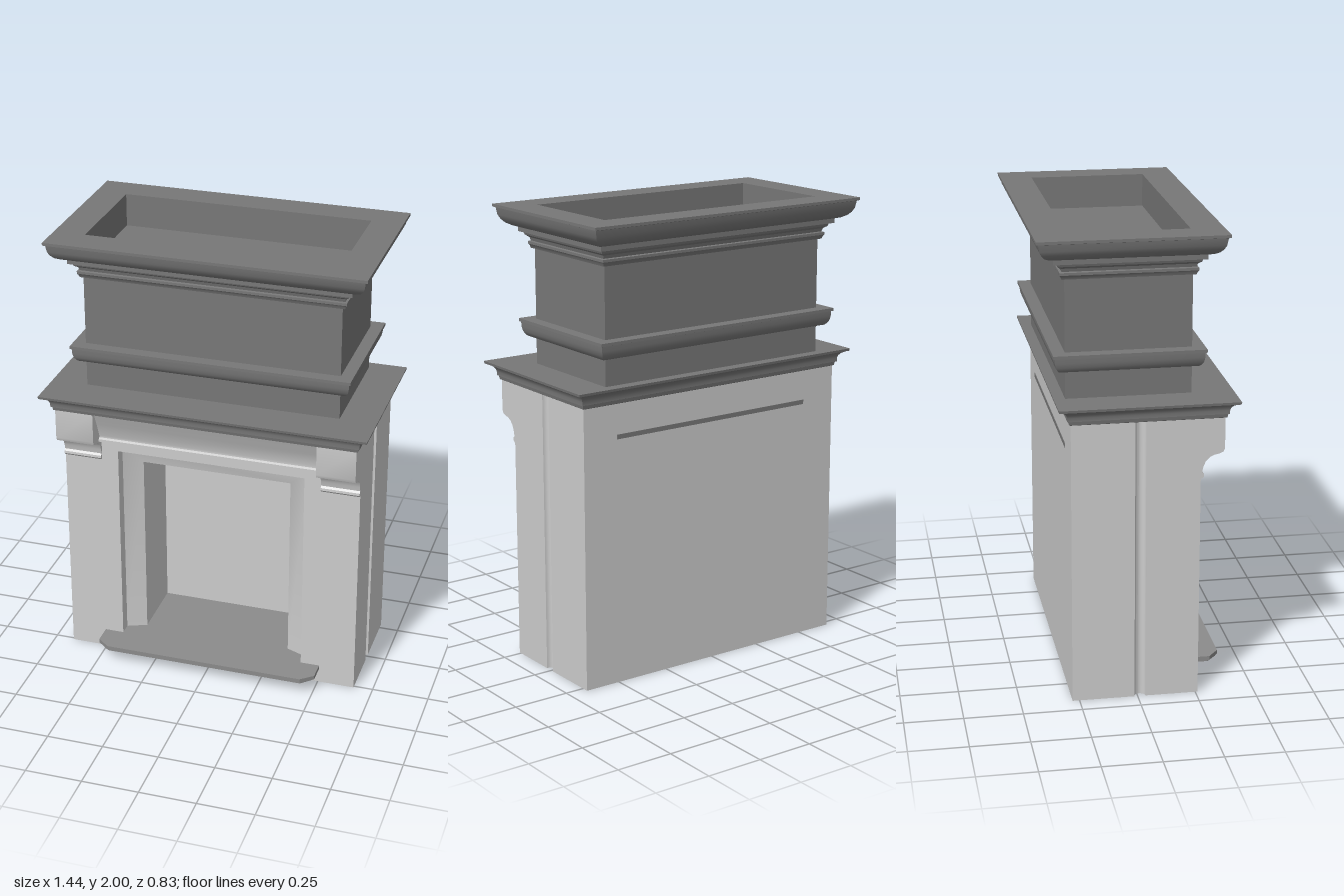
import * as THREE from 'three';
import { toCreasedNormals } from 'three/addons/utils/BufferGeometryUtils.js';

const stone = new THREE.MeshStandardMaterial({ color: 0xcccccc, side: THREE.DoubleSide });
const darkStone = new THREE.MeshStandardMaterial({ color: 0x777777, side: THREE.DoubleSide });
const slate = new THREE.MeshStandardMaterial({ color: 0x8b8b8b, side: THREE.DoubleSide });

function mesh(name, geometry, material) {
  const m = new THREE.Mesh(toCreasedNormals(geometry, 0.55), material);
  m.name = name;
  return m;
}

function box(name, x0, x1, y0, y1, z0, z1, material) {
  const g = new THREE.BoxGeometry(x1 - x0, y1 - y0, z1 - z0);
  g.translate((x0 + x1) / 2, (y0 + y1) / 2, (z0 + z1) / 2);
  return mesh(name, g, material);
}

const toShape = (pts) => new THREE.Shape(pts.map(([x, y]) => new THREE.Vector2(x, y)));

// plan outline of [x, z] points raised from y0 to y1
function planExtrude(pts, y0, y1) {
  const g = new THREE.ExtrudeGeometry(toShape(pts.map(([x, z]) => [x, -z])), { depth: y1 - y0, bevelEnabled: false });
  return g.rotateX(-Math.PI / 2).translate(0, y0, 0);
}

// side outline of [z, y] points swept across from x0 to x1
function sideExtrude(pts, x0, x1) {
  const g = new THREE.ExtrudeGeometry(toShape(pts), { depth: x1 - x0, bevelEnabled: false });
  return g.rotateY(-Math.PI / 2).translate(x1, 0, 0);
}

// skin a stack of equal-length point loops
function skin(loops, closed, caps) {
  const pos = [], idx = [], n = loops[0].length;
  loops.forEach((l) => l.forEach((p) => pos.push(...p)));
  for (let i = 0; i < loops.length - 1; i++) {
    for (let j = 0; j < (closed ? n : n - 1); j++) {
      const k = (j + 1) % n, a = i * n + j, b = i * n + k;
      idx.push(a, b, b + n, a, b + n, a + n);
    }
  }
  if (caps) {
    const t = (loops.length - 1) * n;
    idx.push(0, 2, 1, 0, 3, 2, t, t + 1, t + 2, t, t + 2, t + 3);
  }
  const g = new THREE.BufferGeometry();
  g.setAttribute('position', new THREE.Float32BufferAttribute(pos, 3));
  g.setIndex(idx);
  return g;
}

// rectangular moulding: profile of [outward offset, y] around a base rectangle
function moulding(hx, zf, zb, profile) {
  return skin(profile.map(([o, y]) => [
    [-hx - o, y, zf + o], [hx + o, y, zf + o], [hx + o, y, zb - o], [-hx - o, y, zb - o],
  ]), true, true);
}

export function createModel() {
  const root = new THREE.Group();
  root.name = 'fireplace';

  const W = 0.665, TOP = 1.235, FRONT = 0.26, BACK = -0.28;
  const OPEN = 0.42, FLOOR = 0.075;

  for (const s of [1, -1]) {
    const side = s > 0 ? 'left' : 'right';

    // pier with a rounded vertical groove in its outer side
    const pier = [[OPEN, FRONT], [W, FRONT]];
    for (let i = 0; i <= 10; i++) {
      const a = (i / 10) * Math.PI;
      pier.push([W - 0.025 * Math.sin(a), 0.01 + 0.024 * Math.cos(a)]);
    }
    pier.push([W, BACK], [OPEN, BACK]);
    root.add(mesh(side + 'Pier', planExtrude(pier.map(([x, z]) => [s * x, z]), 0, TOP), stone));

    // scrolled bracket under the mantel
    const scroll = [[0.2, TOP], [0.36, TOP], [0.36, 1.1], [0.354, 1.085], [0.335, 1.077]];
    for (let i = 0; i <= 8; i++) {
      const a = (i / 8) * Math.PI / 2;
      scroll.push([0.265 + 0.055 * Math.cos(a), 1.005 + 0.068 * Math.sin(a)]);
    }
    const head = scroll.slice(0, 5);
    const curve = [[0.315, 1.073], [0.297, 1.064], [0.28, 1.047], [0.27, 1.022], [0.265, 1.0],
      [0.273, 0.992], [0.274, 0.981], [0.266, 0.972], [0.2, 0.97]];
    const x0 = s > 0 ? 0.495 : -W, x1 = s > 0 ? W : -0.495;
    root.add(mesh(side + 'Bracket', sideExtrude([...head, ...curve], x0, x1), stone));
  }

  // centre of the body
  root.add(box('lintel', -OPEN, OPEN, 1.02, TOP, BACK, FRONT, stone));
  root.add(box('backWall', -OPEN, OPEN, 0, 1.02, BACK, -0.12, stone));
  root.add(box('base', -OPEN, OPEN, 0, FLOOR, -0.12, FRONT, stone));

  // stepped and bevelled lining of the firebox
  const lining = [[OPEN, 1.02, FRONT], [OPEN, 1.02, 0.205], [0.335, 0.935, 0.17], [0.335, 0.935, -0.12]];
  root.add(mesh('fireboxSurround', skin(lining.map(([x, y, z]) => [
    [-x, FLOOR, z], [-x, y, z], [x, y, z], [x, FLOOR, z],
  ]), false, false), stone));

  // frieze between the brackets, flaring up to the mantel
  root.add(mesh('frieze', sideExtrude([[0.2, TOP], [0.345, TOP], [0.315, 1.17], [0.285, 1.1], [0.285, 1.09],
    [0.295, 1.085], [0.295, 1.073], [0.275, 1.065], [0.27, 1.06], [0.2, 1.06]], -0.495, 0.495), stone));
  root.add(box('backStrip', -0.5, 0.5, 1.08, 1.1, BACK - 0.002, BACK + 0.01, darkStone));

  // hearth slab with clipped corners and a thinner lower lip
  const hearth = (d) => [[-0.505 + d, FRONT - 0.01], [-0.505 + d, 0.345 - d], [-0.45, 0.39 - d],
    [0.45, 0.39 - d], [0.505 - d, 0.345 - d], [0.505 - d, FRONT - 0.01]];
  root.add(mesh('hearthTop', planExtrude(hearth(0), 0.067, 0.085), slate));
  root.add(mesh('hearthLip', planExtrude(hearth(0.008), 0.058, 0.067), slate));
  root.add(box('fireboxFloor', -OPEN, OPEN, FLOOR - 0.01, 0.085, -0.12, FRONT, slate));

  // mantel shelf
  root.add(mesh('mantel', moulding(W, 0.36, BACK, [[0, 1.232], [0.006, 1.235], [0.009, 1.25], [0.015, 1.252],
    [0.015, 1.268], [0.019, 1.28], [0.028, 1.291], [0.042, 1.299], [0.053, 1.302], [0.055, 1.313]]), darkStone));

  // overmantel: shaft, belt moulding, crown and the hollow in its top
  root.add(mesh('overmantel', moulding(0.56, 0.238, -0.287, [
    [0, 1.31], [0, 1.432], [0.026, 1.434], [0.033, 1.44], [0.042, 1.455], [0.046, 1.475], [0.047, 1.495],
    [0.054, 1.497], [0.054, 1.51], [0, 1.51],
    [0, 1.815], [0.012, 1.816], [0.016, 1.828], [0.021, 1.834], [0.021, 1.845], [0.012, 1.848],
    [0.016, 1.862], [0.03, 1.872], [0.034, 1.883], [0.051, 1.886], [0.051, 1.906],
    [0.07, 1.911], [0.09, 1.922], [0.104, 1.937], [0.113, 1.955], [0.118, 1.985],
    [0.128, 1.988], [0.128, 2], [-0.01, 2], [-0.01, 1.855],
  ]), darkStone));

  return root;
}
